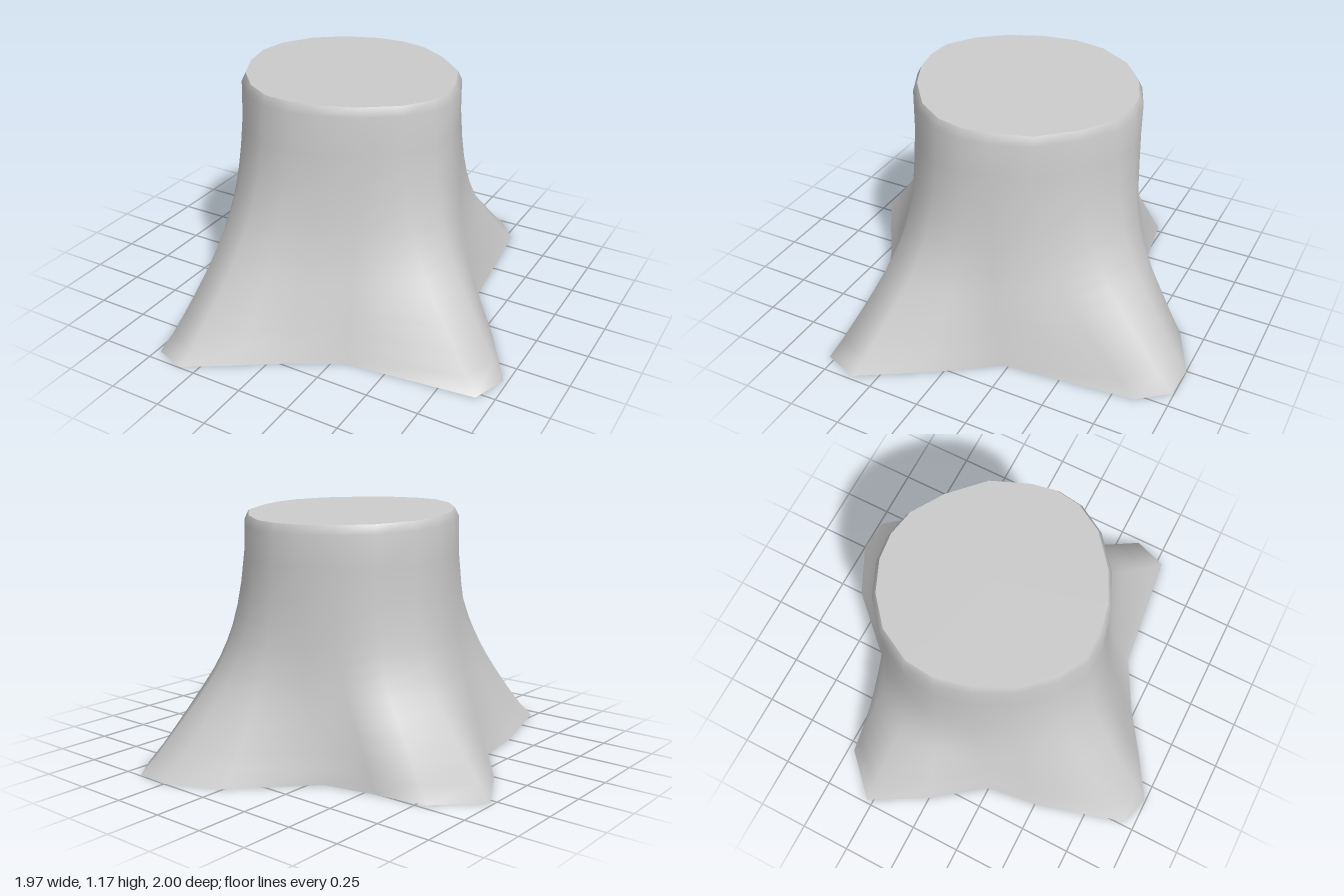
import * as THREE from 'three';

// Ground outline with four root toes, as [x, z, extra fullness halfway up]
const BASE = [
  [0, -0.88, 0], [0.25, -1, 0], [0.42, -0.99, 0], [0.53, -0.85, 0.1], [0.6, -0.23, 0.4],
  [0.8, 0.06, 0.2], [0.98, 0.36, 0.1], [0.92, 0.53, 0.1], [0.32, 0.6, 0.4], [0.08, 0.73, 0.45],
  [-0.13, 0.87, 0.6], [-0.33, 0.995, 0.7], [-0.48, 0.945, 0.7], [-0.61, 0.5, 0.6], [-0.645, 0.25, 0.3],
  [-0.83, 0, -0.3], [-0.985, -0.28, -0.55], [-0.79, -0.47, -0.6], [-0.55, -0.51, -0.5], [-0.3, -0.565, 0],
];
// Outline of the cut surface, point for point above the ground outline
const CUT = [
  [-0.02, -0.55], [0.11, -0.525], [0.26, -0.43], [0.41, -0.28], [0.48, -0.1], [0.5, 0.02], [0.48, 0.14],
  [0.4, 0.27], [0.25, 0.39], [0.1, 0.46], [-0.03, 0.485], [-0.16, 0.475], [-0.29, 0.4], [-0.41, 0.27],
  [-0.49, 0.11], [-0.53, -0.05], [-0.515, -0.2], [-0.43, -0.36], [-0.3, -0.47], [-0.15, -0.535],
];
const CX = -0.02, CZ = -0.03, TOP = 1.156, TILT = 0.038;
// [height, share of root flare, scale of the cut outline]
const LEVELS = [
  [0, 1, 1.035], [0.07, 0.865, 1.035], [0.15, 0.73, 1.035], [0.24, 0.58, 1.035], [0.32, 0.45, 1.035],
  [0.39, 0.345, 1.035], [0.45, 0.27, 1.035], [0.52, 0.2, 1.035], [0.59, 0.145, 1.035], [0.69, 0.09, 1.035],
  [0.8, 0.05, 1.035], [0.95, 0.015, 1.035], [1.115, 0, 1.04], [TOP, 0, 1],
];

function makeGeometry(positions, index) {
  const g = new THREE.BufferGeometry();
  g.setAttribute('position', new THREE.Float32BufferAttribute(positions, 3));
  g.setIndex(index);
  g.computeVertexNormals();
  return g;
}

export function createModel() {
  const group = new THREE.Group();
  group.name = 'treeStump';
  const material = new THREE.MeshStandardMaterial({ color: 0xcccccc, side: THREE.DoubleSide });
  const n = BASE.length;

  // Trunk wall: flared roots blending into the round trunk, open below
  const wall = [], faces = [];
  LEVELS.forEach(([y, flare, scale], k) => {
    BASE.forEach(([bx, bz, fullness], i) => {
      const share = flare + fullness * flare * (1 - flare) ** 3;
      const x = THREE.MathUtils.lerp(CX + (CUT[i][0] - CX) * scale, bx, share);
      const z = THREE.MathUtils.lerp(CZ + (CUT[i][1] - CZ) * scale, bz, share);
      wall.push(x, y > 1 ? y + TILT * z : y, z);
      if (k === LEVELS.length - 1) return;
      const a = k * n + i, b = k * n + (i + 1) % n;
      faces.push(a, a + n, b, b, a + n, b + n);
    });
  });
  const trunk = new THREE.Mesh(makeGeometry(wall, faces), material);
  trunk.name = 'trunkAndRoots';

  // Slightly tilted flat cut surface
  const top = [...wall.slice(-3 * n), CX, TOP + TILT * CZ, CZ], fan = [];
  for (let i = 0; i < n; i++) fan.push(n, (i + 1) % n, i);
  const cutFace = new THREE.Mesh(makeGeometry(top, fan), material);
  cutFace.name = 'cutSurface';

  group.add(trunk, cutFace);
  return group;
}
